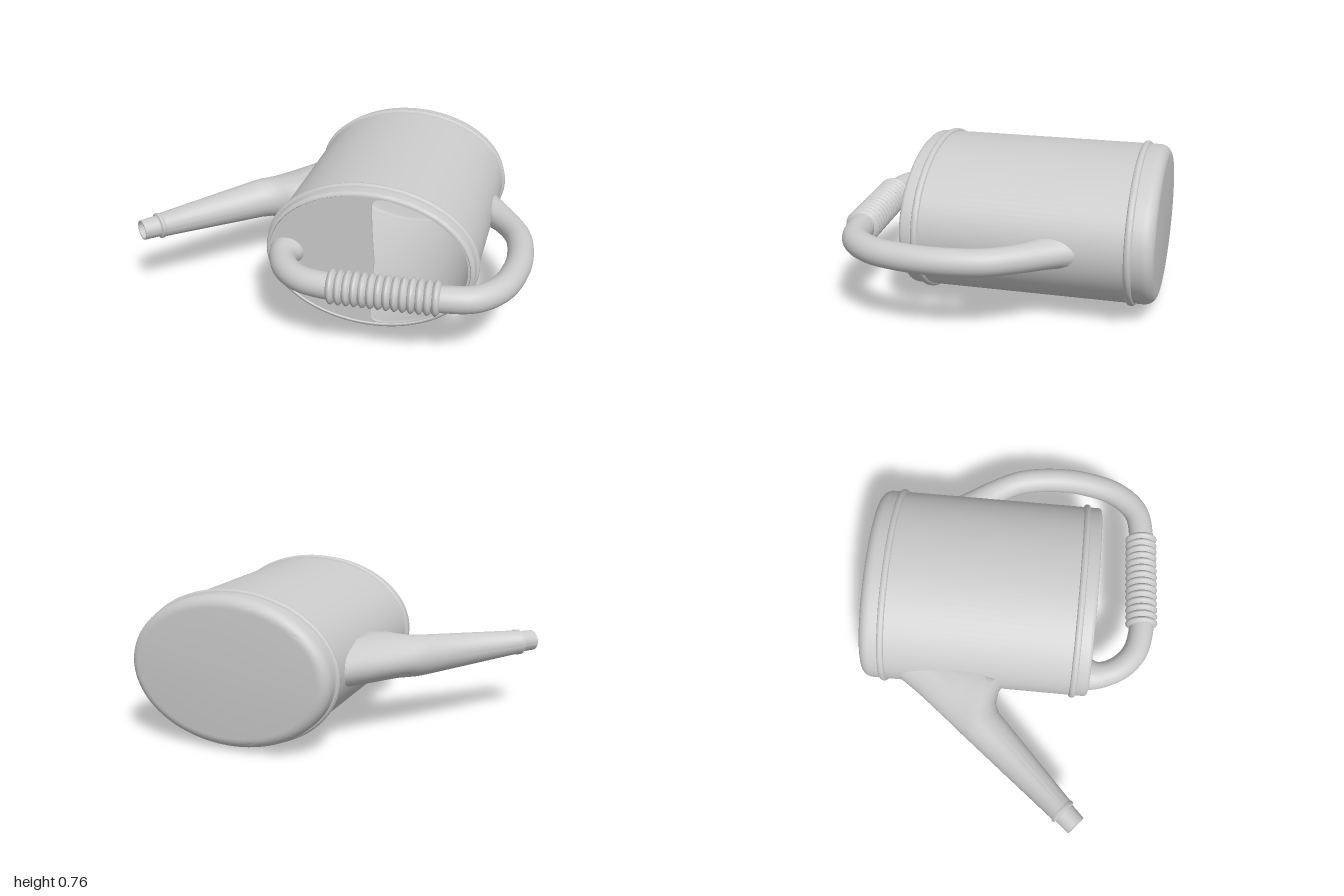
import * as THREE from 'three';
import { toCreasedNormals } from 'three/addons/utils/BufferGeometryUtils.js';

const CX = 0.224, CY = 0.38, A = 0.516, B = 0.366; // oval body centre and half axes
const mat = new THREE.MeshStandardMaterial({ color: 0xcccccc, side: THREE.DoubleSide });

// Skin a row of closed rings
function loft(rings) {
  const n = rings[0].length, pos = [], idx = [];
  rings.forEach(r => r.forEach(p => pos.push(p.x, p.y, p.z)));
  for (let i = 0; i < rings.length - 1; i++) {
    for (let j = 0; j < n; j++) {
      const k = (j + 1) % n, a = i * n + j, b = i * n + k, c = b + n, d = a + n;
      idx.push(a, b, c, a, c, d);
    }
  }
  const g = new THREE.BufferGeometry();
  g.setAttribute('position', new THREE.Float32BufferAttribute(pos, 3));
  g.setIndex(idx);
  return toCreasedNormals(g, 0.75);
}

// Oval ring across the horizontal direction w: half width ru, half height rv
function ring(c, w, ru, rv, n) {
  return Array.from({ length: n }, (_, j) => {
    const t = j / n * Math.PI * 2, u = Math.cos(t) * ru;
    return new THREE.Vector3(c.x + w.z * u, c.y + Math.sin(t) * rv, c.z - w.x * u);
  });
}

// x of the body wall at height y, on side s
const wallX = (y, s) => CX + s * (A - 0.006) * Math.sqrt(Math.max(0, 1 - ((y - CY) / (B - 0.006)) ** 2));

function add(group, name, geometry) {
  const m = new THREE.Mesh(geometry, mat);
  m.name = name;
  group.add(m);
  return m;
}

// Oval can: rows of [z, inset, scale]
function bodyGeometry() {
  const rows = [[-0.76, 0.055, 0]];
  for (let i = 0; i <= 8; i++) { // rounded base edge
    const t = i / 8 * Math.PI / 2;
    rows.push([-0.705 - 0.055 * Math.cos(t), 0.055 * (1 - Math.sin(t))]);
  }
  for (const z of [-0.645, 0.335]) { // raised bands
    for (let i = 0; i <= 8; i++) {
      const t = i / 8 * Math.PI;
      rows.push([z - 0.017 * Math.cos(t), -0.014 * Math.sin(t)]);
    }
  }
  for (let i = 0; i <= 5; i++) { // rounded rim
    const t = i / 5 * Math.PI / 2;
    rows.push([0.395 + 0.018 * Math.sin(t), 0.018 * (1 - Math.cos(t))]);
  }
  rows.push([0.405, 0.022], [0.39, 0.014], [-0.73, 0.014], [-0.74, 0.03], [-0.74, 0.03, 0]);
  const w = new THREE.Vector3(0, 0, 1);
  return loft(rows.map(([z, inset, s = 1]) =>
    ring(new THREE.Vector3(CX, CY, z), w, (A - inset) * s, (B - inset) * s, 96)));
}

// Front cover with a half-oval filling opening
function coverGeometry() {
  const s = new THREE.Shape();
  s.absellipse(CX, CY, A - 0.013, B - 0.013, 0, Math.PI * 2);
  const h = new THREE.Path(), a = A - 0.032, b = B - 0.026, t = 1.4;
  h.moveTo(CX + a * Math.cos(t), CY - b * Math.sin(t));
  h.absellipse(CX, CY, a, b, -t, t);
  h.quadraticCurveTo(0.235, CY + 0.345, 0.237, CY + 0.28);
  h.quadraticCurveTo(0.243, CY + 0.1, 0.255, CY);
  h.quadraticCurveTo(0.243, CY - 0.1, 0.237, CY - 0.28);
  h.quadraticCurveTo(0.235, CY - 0.345, CX + a * Math.cos(t), CY - b * Math.sin(t));
  s.holes.push(h);
  const g = new THREE.ExtrudeGeometry(s, { depth: 0.014, bevelEnabled: false, curveSegments: 48 });
  g.translate(0, 0, 0.392);
  return toCreasedNormals(g, 0.6);
}

// Tapered spout: rows of [distance along, sideways offset, half width, half height]
function spoutGeometry() {
  const w = new THREE.Vector3(-0.66, 0, 0.75).normalize();
  const rows = [
    [-0.24, 0.43, 0.15, 0.085], [-0.1, 0.375, 0.197, 0.115], [0.05, 0.35, 0.213, 0.115],
    [0.14, 0.375, 0.183, 0.11], [0.18, 0.41, 0.146, 0.106], [0.22, 0.438, 0.116, 0.103], [0.27, 0.447, 0.104, 0.1],
    [0.83, 0.455, 0.064, 0.061], [0.835, 0.455, 0.068, 0.065], [0.85, 0.455, 0.068, 0.065],
    [0.855, 0.455, 0.056, 0.054], [0.937, 0.456, 0.053, 0.051], [0.937, 0.456, 0.045, 0.043], [0.6, 0.452, 0.06, 0.06],
  ];
  const rings = rows.map(([d, p, ru, rv]) =>
    ring(new THREE.Vector3(w.x * d - w.z * p, CY, w.z * d + w.x * p), w, ru, rv, 40));
  rings.flat().forEach(p => { p.x = Math.min(p.x, wallX(p.y, -1)); }); // trim at the wall
  return loft(rings);
}

// Looped handle from the cover round to the side
function handleGeometry() {
  const path = new THREE.CatmullRomCurve3([
    [-0.185, 0.395], [-0.185, 0.46], [-0.14, 0.56], [-0.05, 0.637], [0.08, 0.668], [0.35, 0.656], [0.62, 0.643],
    [0.77, 0.605], [0.87, 0.49], [0.918, 0.31], [0.924, 0.15], [0.89, -0.04], [0.81, -0.18], [0.735, -0.265], [0.65, -0.35],
  ].map(([x, z]) => new THREE.Vector3(x, CY, z)));
  const n = 90, rings = [];
  for (let i = 0; i <= n; i++) {
    const t = i / n, w = path.getTangentAt(t);
    const flare = 0.025 * Math.max(0, 1 - t / 0.06) ** 2 + 0.05 * Math.max(0, (t - 0.85) / 0.15) ** 2;
    rings.push(ring(path.getPointAt(t), w, 0.064 + flare, 0.063 + flare * 0.4, 32));
  }
  rings.flat().forEach(p => { if (p.z < 0.1) p.x = Math.max(p.x, wallX(p.y, 1)); });
  return loft(rings);
}

// Ribbed sleeve on the handle
function gripGeometry() {
  const p0 = new THREE.Vector3(0.1, CY, 0.669), p1 = new THREE.Vector3(0.62, CY, 0.641);
  const w = p1.clone().sub(p0).normalize(), ribs = 14, steps = 8, rings = [ring(p0, w, 0.05, 0.05, 32)];
  for (let i = 0; i <= ribs * steps; i++) {
    const r = 0.066 + 0.018 * Math.abs(Math.sin(i / steps * Math.PI));
    rings.push(ring(p0.clone().lerp(p1, i / (ribs * steps)), w, r, r, 32));
  }
  rings.push(ring(p1, w, 0.05, 0.05, 32));
  return loft(rings);
}

export function createModel() {
  const group = new THREE.Group();
  group.name = 'wateringCan';
  add(group, 'body', bodyGeometry());
  add(group, 'frontCover', coverGeometry());
  add(group, 'spout', spoutGeometry());
  add(group, 'handle', handleGeometry());
  add(group, 'grip', gripGeometry());
  return group;
}
